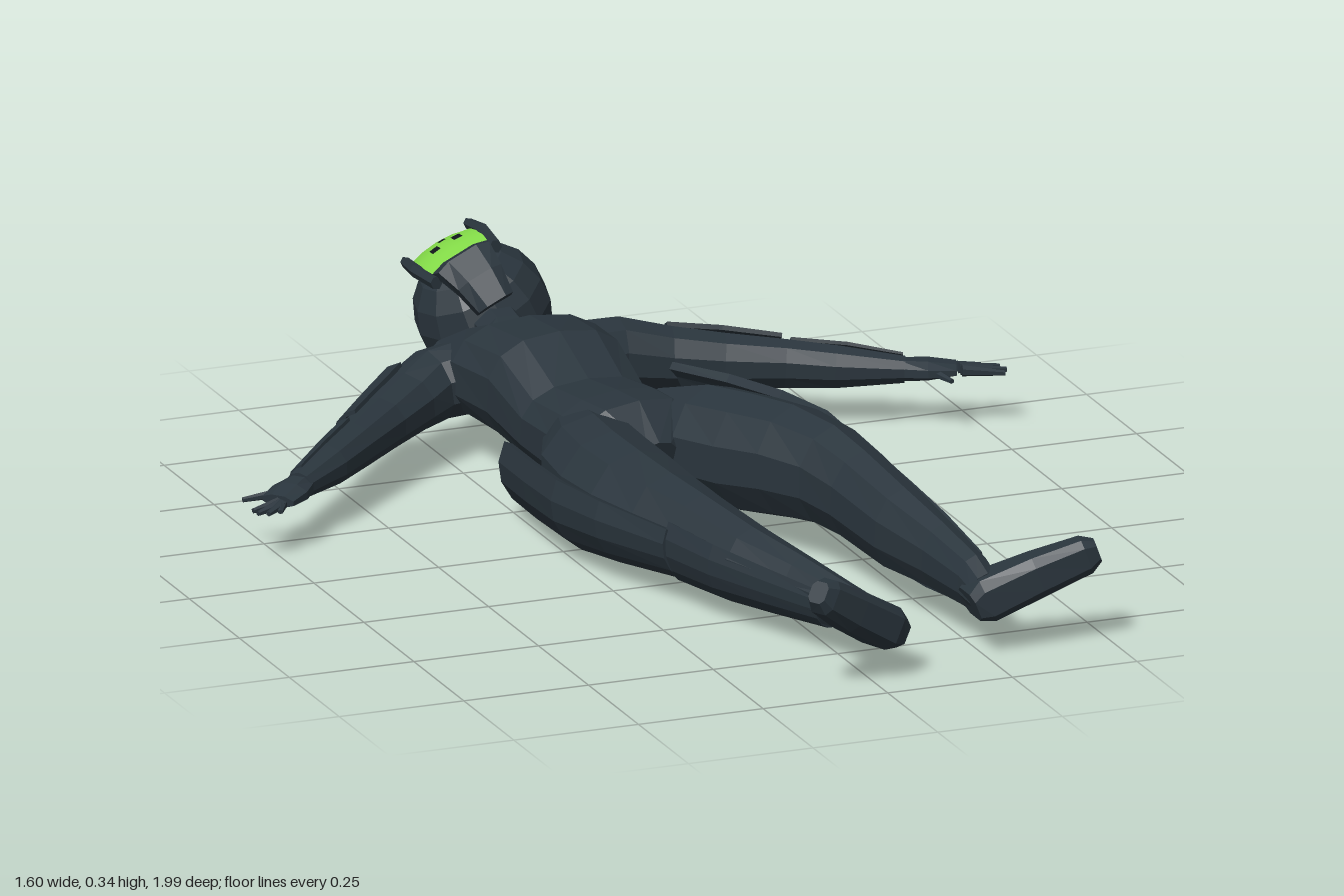
import * as THREE from 'three';

const suit = new THREE.MeshStandardMaterial({ color: 0x2a353d, flatShading: true });
const visorGreen = new THREE.MeshStandardMaterial({ color: 0x84dc48, side: THREE.DoubleSide });
const eyeBlack = new THREE.MeshStandardMaterial({ color: 0x10161a, side: THREE.DoubleSide });
suit.name = 'darkSuit';
visorGreen.name = 'visorGreen';
eyeBlack.name = 'eyeBlack';

// Closed rounded section; power 1 is an ellipse, smaller is boxier
function oval(n = 10, power = 1) {
  const soft = (c) => Math.sign(c) * Math.pow(Math.abs(c), power);
  return Array.from({ length: n }, (_, i) => {
    const a = ((i + 0.5) / n) * Math.PI * 2;
    return [soft(Math.cos(a)), soft(Math.sin(a))];
  });
}

// Thin curved plate section between two angles in degrees
function shell(from, to, inner = 0.86, n = 6) {
  const arc = Array.from({ length: n + 1 }, (_, i) => THREE.MathUtils.degToRad(from + ((to - from) * i) / n));
  const at = (r) => (a) => [r * Math.cos(a), r * Math.sin(a)];
  return [...arc.map(at(1)), ...arc.reverse().map(at(inner))];
}

// Sweep a section through rings of [x, y, z, halfWidth, halfHeight]
function loft(name, rings, section = oval()) {
  const n = section.length;
  const centres = rings.map((r) => new THREE.Vector3(r[0], r[1], r[2]));
  const pos = [];
  const index = [];
  rings.forEach((r, i) => {
    const t = centres[Math.min(i + 1, rings.length - 1)].clone().sub(centres[Math.max(i - 1, 0)]).normalize();
    const u = new THREE.Vector3(0, 1, 0).cross(t).normalize();
    const v = t.clone().cross(u);
    for (const [a, b] of section) {
      const p = centres[i].clone().addScaledVector(u, a * r[3]).addScaledVector(v, b * (r[4] ?? r[3]));
      pos.push(p.x, p.y, p.z);
    }
  });
  for (let i = 0; i < rings.length - 1; i++) {
    for (let j = 0; j < n; j++) {
      const a = i * n + j, b = i * n + ((j + 1) % n);
      index.push(a, b, b + n, a, b + n, a + n);
    }
  }
  const last = (rings.length - 1) * n;
  for (const [a, b, c] of THREE.ShapeUtils.triangulateShape(section.map((p) => new THREE.Vector2(...p)), [])) {
    index.push(a, c, b, last + a, last + b, last + c);
  }
  const geo = new THREE.BufferGeometry();
  geo.setAttribute('position', new THREE.Float32BufferAttribute(pos, 3));
  geo.setIndex(index);
  geo.computeVertexNormals();
  const mesh = new THREE.Mesh(geo, suit);
  mesh.name = name;
  return mesh;
}

// Patch bent onto a sphere around the head centre, facing local +y
function facePatch(name, w, l, x, z, r, material) {
  const geo = new THREE.PlaneGeometry(w, l, 4, 4).rotateX(-Math.PI / 2).translate(x, 0, z);
  const p = geo.attributes.position;
  for (let i = 0; i < p.count; i++) {
    p.setY(i, Math.sqrt(r * r - 0.6 * (p.getX(i) ** 2 + p.getZ(i) ** 2)));
  }
  geo.computeVertexNormals();
  const mesh = new THREE.Mesh(geo, material);
  mesh.name = name;
  return mesh;
}

function makeHead() {
  const head = new THREE.Group();
  head.name = 'head';
  const helmet = new THREE.Mesh(new THREE.SphereGeometry(0.135, 12, 9), suit);
  helmet.name = 'helmet';
  helmet.scale.set(0.96, 1.0, 1.0);
  head.add(helmet);
  // Mouth guard below the visor
  head.add(loft('mouthGuard', [
    [0, 0.125, 0.035, 0.065, 0.018],
    [0, 0.132, 0.06, 0.06, 0.026],
    [0, 0.105, 0.1, 0.05, 0.03],
    [0, 0.06, 0.128, 0.04, 0.03],
  ], oval(8, 0.7)));
  head.add(facePatch('visor', 0.13, 0.14, 0, -0.035, 0.143, visorGreen));
  for (const s of [-1, 1]) {
    head.add(facePatch('eye', 0.018, 0.022, s * 0.024, -0.03, 0.146, eyeBlack));
    // Rails framing the visor
    head.add(loft('visorRail', [
      [s * 0.07, 0.118, -0.1, 0.01, 0.012],
      [s * 0.074, 0.126, -0.03, 0.012, 0.014],
      [s * 0.066, 0.122, 0.05, 0.012, 0.014],
    ], oval(6)));
  }
  head.add(facePatch('mouth', 0.014, 0.012, 0, -0.055, 0.146, eyeBlack));
  head.position.set(-0.065, 0.192, -0.865);
  head.rotation.z = 0.45;
  return head;
}

// Palm plus tapered fingers from knuckle points to tips
function makeHand(name, wrist, knuckle, tips, thumb) {
  const hand = new THREE.Group();
  hand.name = name;
  const [wx, wy, wz] = wrist, [kx, ky, kz] = knuckle;
  hand.add(loft('palm', [
    [wx, wy, wz, 0.028, 0.022],
    [(wx + kx) / 2, (wy + ky) / 2, (wz + kz) / 2, 0.04, 0.02],
    [kx, ky, kz, 0.036, 0.012],
  ], oval(8)));
  const finger = (a, b) => hand.add(loft('finger', [[...a, 0.011], [...b, 0.005]], oval(6)));
  for (const [x, z] of tips) finger([kx + (x - kx) * 0.05, ky, kz + (z - kz) * 0.45], [x, ky - 0.006, z]);
  finger([(wx + kx) / 2, wy, (wz + kz) / 2], [thumb[0], ky - 0.005, thumb[1]]);
  return hand;
}

export function createModel() {
  const body = new THREE.Group();
  body.name = 'lyingFigure';

  // Torso, crotch to collar
  body.add(loft('torso', [
    [-0.05, 0.13, -0.04, 0.05, 0.06],
    [-0.06, 0.15, -0.11, 0.14, 0.1],
    [-0.07, 0.147, -0.18, 0.145, 0.1],
    [-0.085, 0.15, -0.3, 0.138, 0.088],
    [-0.09, 0.18, -0.43, 0.145, 0.112],
    [-0.095, 0.178, -0.55, 0.16, 0.102],
    [-0.09, 0.165, -0.64, 0.18, 0.075],
    [-0.08, 0.17, -0.69, 0.13, 0.045],
  ], oval(14, 0.8)));
  body.add(loft('neck', [
    [-0.085, 0.175, -0.65, 0.08, 0.05],
    [-0.08, 0.185, -0.71, 0.052, 0.05],
    [-0.075, 0.19, -0.8, 0.055, 0.055],
  ], oval(8)));
  body.add(makeHead());

  // Left leg
  body.add(loft('leftLeg', [
    [0.02, 0.15, -0.19, 0.075, 0.085],
    [0.08, 0.155, -0.09, 0.11, 0.11],
    [0.125, 0.16, 0.02, 0.108, 0.115],
    [0.165, 0.172, 0.13, 0.097, 0.11],
    [0.195, 0.175, 0.24, 0.08, 0.1],
    [0.212, 0.165, 0.34, 0.07, 0.092],
    [0.23, 0.145, 0.5, 0.062, 0.085],
    [0.25, 0.135, 0.65, 0.046, 0.068],
    [0.262, 0.125, 0.78, 0.036, 0.055],
    [0.265, 0.115, 0.83, 0.034, 0.045],
  ]));
  body.add(loft('leftThighGuard', [
    [0.035, 0.155, -0.28, 0.1, 0.11],
    [0.085, 0.155, -0.14, 0.122, 0.122],
    [0.135, 0.16, 0.0, 0.122, 0.122],
    [0.175, 0.165, 0.13, 0.106, 0.115],
    [0.195, 0.165, 0.27, 0.083, 0.1],
  ], shell(-45, 55)));
  body.add(loft('leftShinGuard', [
    [0.205, 0.16, 0.26, 0.084, 0.105],
    [0.222, 0.148, 0.42, 0.075, 0.1],
    [0.24, 0.138, 0.57, 0.062, 0.09],
    [0.257, 0.13, 0.74, 0.044, 0.066],
  ], shell(-80, 35)));
  body.add(loft('leftFoot', [
    [0.235, 0.098, 0.825, 0.045, 0.03],
    [0.265, 0.11, 0.825, 0.055, 0.045],
    [0.36, 0.15, 0.85, 0.04, 0.042],
    [0.45, 0.182, 0.867, 0.028, 0.036],
    [0.472, 0.19, 0.872, 0.018, 0.022],
  ], oval(8, 0.6)));

  // Right leg
  body.add(loft('rightLeg', [
    [-0.14, 0.14, -0.19, 0.075, 0.085],
    [-0.155, 0.135, -0.09, 0.105, 0.105],
    [-0.16, 0.13, 0.02, 0.11, 0.11],
    [-0.152, 0.13, 0.13, 0.105, 0.105],
    [-0.135, 0.13, 0.25, 0.088, 0.095],
    [-0.115, 0.13, 0.36, 0.072, 0.085],
    [-0.08, 0.12, 0.52, 0.064, 0.075],
    [-0.035, 0.115, 0.66, 0.047, 0.06],
    [0.0, 0.11, 0.78, 0.036, 0.048],
    [0.025, 0.105, 0.87, 0.034, 0.04],
  ]));
  body.add(loft('rightThighGuard', [
    [-0.165, 0.115, -0.21, 0.13, 0.11],
    [-0.168, 0.118, -0.08, 0.131, 0.112],
    [-0.168, 0.122, 0.05, 0.131, 0.112],
    [-0.152, 0.125, 0.18, 0.117, 0.1],
    [-0.118, 0.125, 0.36, 0.085, 0.08],
  ], shell(155, 280)));
  body.add(loft('rightShinGuard', [
    [-0.112, 0.125, 0.35, 0.088, 0.092],
    [-0.085, 0.12, 0.48, 0.077, 0.083],
    [-0.05, 0.115, 0.6, 0.06, 0.07],
    [-0.005, 0.11, 0.74, 0.045, 0.055],
  ], shell(150, 275)));
  body.add(loft('rightFoot', [
    [0.058, 0.088, 0.885, 0.045, 0.03],
    [0.03, 0.103, 0.893, 0.054, 0.044],
    [-0.05, 0.155, 0.93, 0.042, 0.042],
    [-0.11, 0.197, 0.96, 0.03, 0.036],
    [-0.127, 0.21, 0.97, 0.02, 0.022],
  ], oval(8, 0.6)));

  // Left arm
  body.add(loft('leftArm', [
    [0.0, 0.165, -0.6, 0.075, 0.075],
    [0.1, 0.16, -0.615, 0.07, 0.075],
    [0.2, 0.145, -0.6, 0.062, 0.064],
    [0.3, 0.135, -0.575, 0.056, 0.056],
    [0.41, 0.128, -0.54, 0.046, 0.048],
    [0.5, 0.12, -0.51, 0.044, 0.042],
    [0.62, 0.115, -0.46, 0.028, 0.026],
  ]));
  body.add(loft('leftArmGuard', [
    [0.2, 0.14, -0.605, 0.076, 0.072],
    [0.3, 0.135, -0.58, 0.069, 0.066],
    [0.405, 0.128, -0.545, 0.058, 0.056],
  ], shell(-70, 75)));
  body.add(loft('leftForearmGuard', [
    [0.42, 0.125, -0.537, 0.053, 0.052],
    [0.52, 0.12, -0.502, 0.048, 0.046],
    [0.615, 0.115, -0.462, 0.034, 0.032],
  ], shell(-70, 75)));
  body.add(makeHand('leftHand', [0.61, 0.115, -0.465], [0.71, 0.117, -0.428],
    [[0.765, -0.445], [0.795, -0.425], [0.8, -0.402], [0.79, -0.382]], [0.678, -0.37]));

  // Right arm
  body.add(loft('rightArm', [
    [-0.17, 0.165, -0.6, 0.075, 0.075],
    [-0.27, 0.15, -0.605, 0.07, 0.07],
    [-0.34, 0.138, -0.56, 0.064, 0.06],
    [-0.42, 0.128, -0.49, 0.055, 0.052],
    [-0.51, 0.123, -0.4, 0.045, 0.046],
    [-0.59, 0.118, -0.325, 0.04, 0.04],
    [-0.68, 0.112, -0.25, 0.028, 0.026],
  ]));
  body.add(loft('rightArmGuard', [
    [-0.32, 0.138, -0.585, 0.076, 0.07],
    [-0.4, 0.13, -0.51, 0.068, 0.064],
    [-0.48, 0.125, -0.432, 0.058, 0.056],
  ], shell(105, 250)));
  body.add(loft('rightForearmGuard', [
    [-0.5, 0.123, -0.412, 0.052, 0.052],
    [-0.58, 0.118, -0.335, 0.046, 0.046],
    [-0.66, 0.113, -0.265, 0.035, 0.033],
  ], shell(105, 250)));
  body.add(makeHand('rightHand', [-0.67, 0.112, -0.258], [-0.742, 0.105, -0.2],
    [[-0.8, -0.18], [-0.797, -0.162], [-0.78, -0.152], [-0.755, -0.155]], [-0.795, -0.245]));

  return body;
}
